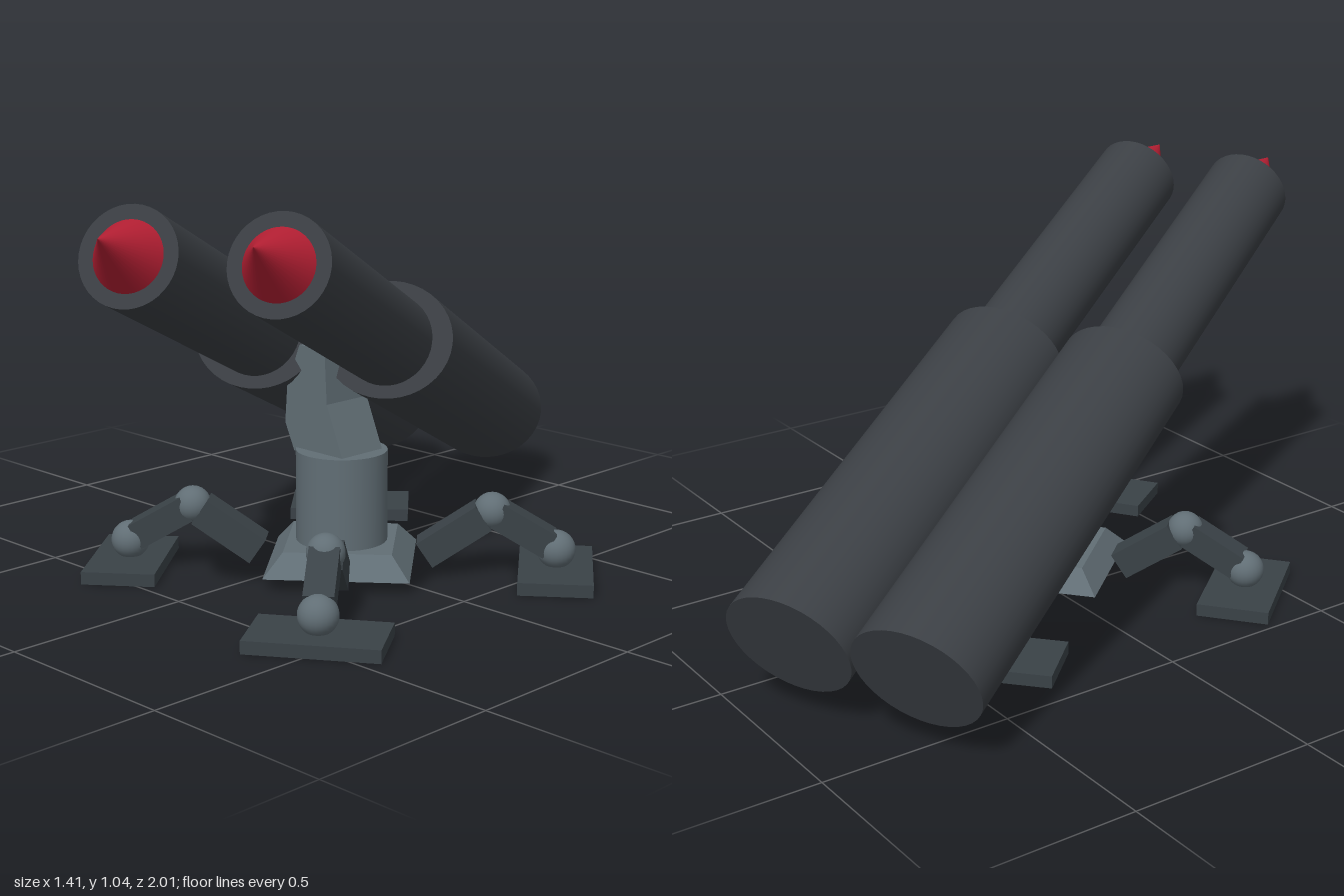
import * as THREE from 'three';

const rad = THREE.MathUtils.degToRad;

export function createModel() {
  const model = new THREE.Group();
  const material = (name, color) => {
    const m = new THREE.MeshStandardMaterial({ color });
    m.name = name;
    return m;
  };
  const tubeGrey = material('tube grey', 0x3b3f44);
  const legGrey = material('leg grey', 0x3a4247);
  const baseGrey = material('base grey', 0x616e75);
  const red = material('warhead red', 0xb51f33);

  const add = (parent, name, geometry, mat, x = 0, y = 0, z = 0) => {
    const mesh = new THREE.Mesh(geometry, mat);
    mesh.name = name;
    mesh.position.set(x, y, z);
    parent.add(mesh);
    return mesh;
  };

  // Stand: square tapered plate, round pedestal and leaning neck
  const stand = new THREE.Group();
  stand.name = 'stand';
  stand.position.set(0.116, 0, 0.043);
  model.add(stand);

  const plate = new THREE.CylinderGeometry(0.195, 0.262, 0.058, 4).toNonIndexed();
  plate.computeVertexNormals();
  add(stand, 'basePlate', plate, baseGrey, 0, 0.063, 0).rotation.y = rad(-5);
  add(stand, 'pedestal', new THREE.CylinderGeometry(0.118, 0.118, 0.25, 32), baseGrey, 0, 0.205, 0);

  const neckShape = new THREE.Shape([
    [-0.1, 0.32], [0.077, 0.32], [0.018, 0.46], [0.01, 0.6],
    [-0.08, 0.6], [-0.125, 0.49], [-0.133, 0.39],
  ].map(([x, y]) => new THREE.Vector2(x, y)));
  const neck = new THREE.ExtrudeGeometry(neckShape, { depth: 0.145, bevelEnabled: false });
  add(stand, 'neck', neck, baseGrey, 0, 0, -0.0725);

  // Legs: two struts, knee and ankle balls, flat foot; local +x points outward
  const strut = (parent, name, [x1, y1], [x2, y2], height, width) => {
    const box = new THREE.BoxGeometry(Math.hypot(x2 - x1, y2 - y1), height, width);
    const mesh = add(parent, name, box, legGrey, (x1 + x2) / 2, (y1 + y2) / 2, 0);
    mesh.rotation.z = Math.atan2(y2 - y1, x2 - x1);
  };
  const legAngles = [[-40.5, 2], [51, 5], [139.5, 2], [228, 0]];
  for (const [azimuth, footTurn] of legAngles) {
    const leg = new THREE.Group();
    leg.name = 'leg';
    leg.rotation.y = rad(-azimuth);
    stand.add(leg);
    strut(leg, 'upperStrut', [0.215, 0.06], [0.365, 0.162], 0.075, 0.08);
    strut(leg, 'lowerStrut', [0.4, 0.168], [0.535, 0.09], 0.07, 0.075);
    add(leg, 'kneeBall', new THREE.SphereGeometry(0.048, 24, 16), baseGrey, 0.387, 0.174, 0);
    add(leg, 'ankleBall', new THREE.SphereGeometry(0.05, 24, 16), baseGrey, 0.552, 0.075, 0);
    const foot = add(leg, 'foot', new THREE.BoxGeometry(0.19, 0.033, 0.33), legGrey, 0.552, 0.018, 0);
    foot.rotation.y = rad(-footTurn);
  }

  // Launcher: twin stepped tubes, built along local +z then aimed
  const launcher = new THREE.Group();
  launcher.name = 'launcher';
  launcher.position.set(-0.39, 0.212, -0.854);
  launcher.rotation.set(rad(-21.8), rad(26.3), 0, 'YXZ');
  model.add(launcher);

  const length = 1.95;
  const step = 1.105;
  const alongZ = (rTop, rBottom, z1, z2) =>
    new THREE.CylinderGeometry(rTop, rBottom, z2 - z1, 40).rotateX(Math.PI / 2).translate(0, 0, (z1 + z2) / 2);
  for (const side of [-1, 1]) {
    const tube = new THREE.Group();
    tube.name = side < 0 ? 'rightTube' : 'leftTube';
    tube.position.x = side * 0.1745;
    launcher.add(tube);
    add(tube, 'rearBarrel', alongZ(1, 1, 0, step).scale(0.171, 0.151, 1), tubeGrey);
    add(tube, 'frontBarrel', alongZ(0.118, 0.118, step - 0.05, length), tubeGrey);
    const tip = new THREE.ConeGeometry(0.084, 0.165, 40).rotateX(Math.PI / 2);
    add(tube, 'warhead', tip, red, 0, 0, length + 0.0815);
  }
  return model;
}
